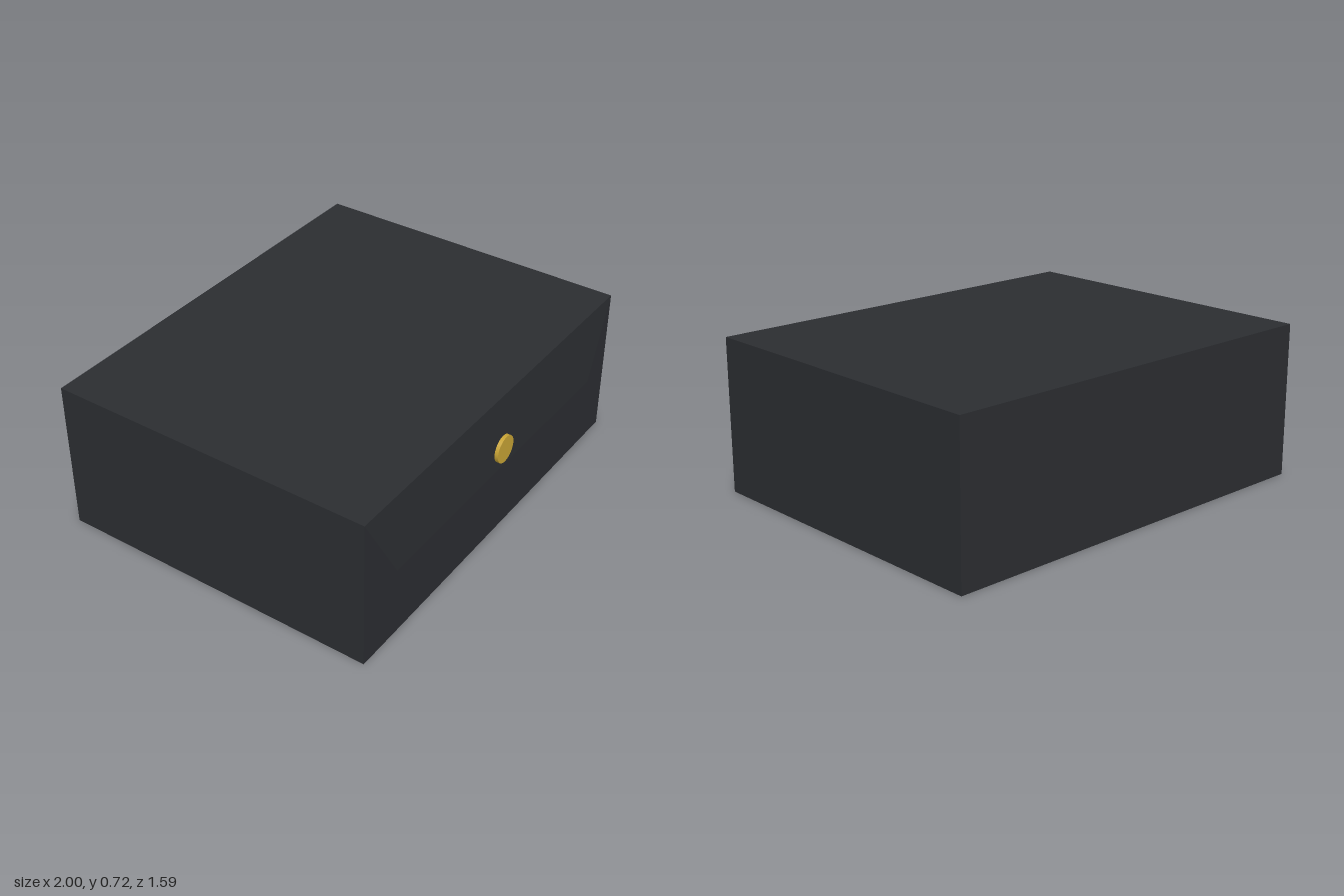
import * as THREE from 'three';

export function createModel() {
  const group = new THREE.Group();
  const dark = new THREE.MeshStandardMaterial({ color: 0x2b2d31 });
  const flapMaterial = new THREE.MeshStandardMaterial({ color: 0x2b2d31, side: THREE.DoubleSide });
  const gold = new THREE.MeshStandardMaterial({ color: 0xc8a435 });

  const height = 0.724, back = -0.797, front = 0.757;

  const add = (name, geometry, material, x, y, z) => {
    const mesh = new THREE.Mesh(geometry, material);
    mesh.name = name;
    mesh.position.set(x, y, z);
    group.add(mesh);
    return mesh;
  };

  // Plain box body
  add('body', new THREE.BoxGeometry(2, height, front - back), dark, 0, height / 2, (front + back) / 2);

  // Thin tapered flap hinged on the top front edge, its lower edge standing slightly proud
  const flapDrop = 0.359, flapLift = 0.021;
  const flap = new THREE.PlaneGeometry(2, flapDrop);
  const p = flap.attributes.position;
  for (let i = 0; i < p.count; i++) {
    if (p.getY(i) < 0) {
      p.setX(i, p.getX(i) * 0.8);
      p.setZ(i, flapLift);
    }
  }
  flap.computeVertexNormals();
  add('flap', flap, flapMaterial, 0, height - flapDrop / 2, front);

  // Round clasp button
  const clasp = new THREE.CylinderGeometry(0.065, 0.065, 0.017, 32).rotateX(Math.PI / 2);
  add('clasp', clasp, gold, 0, 0.475, 0.7885);

  return group;
}
